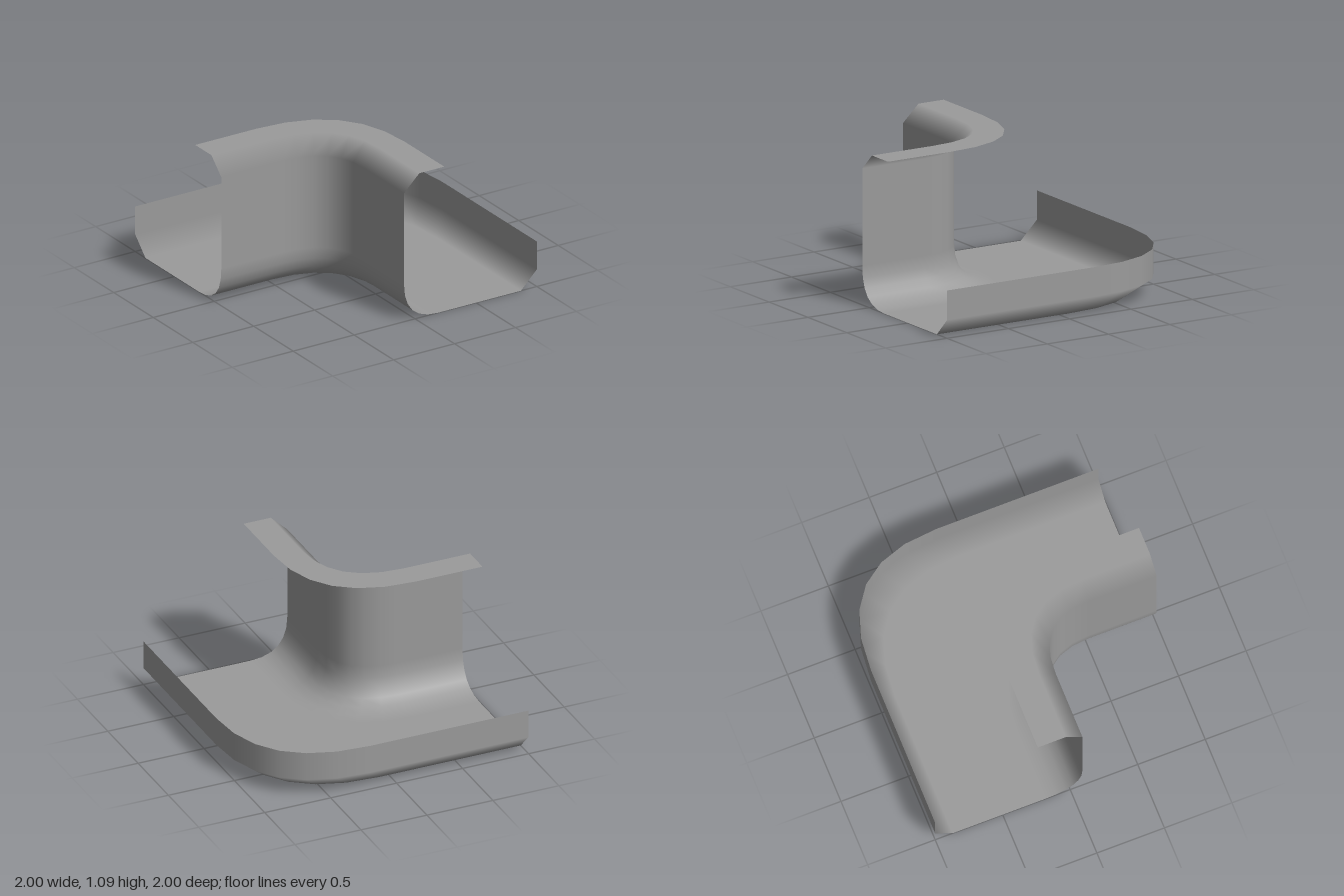
import * as THREE from 'three';

const STEPS = 6; // segments in each rounded bend

// Quadratic curve through the bend, as [a, b] pairs
function bend(p0, c, p1) {
  return new THREE.QuadraticBezierCurve(
    new THREE.Vector2(...p0), new THREE.Vector2(...c), new THREE.Vector2(...p1)
  ).getPoints(STEPS).map((p) => [p.x, p.y]);
}

// Sweep a profile round the 90 degree corner.
// Each profile point is [offset, height, bend start, normal angle].
function cornerSweep(profile) {
  const pos = [], normals = [], index = [];
  const n = STEPS + 3;
  profile.forEach(([d, y, s, angle]) => {
    const path = [[-1, -d], ...bend([s, -d], [d, -d], [d, -s]), [d, 1]];
    path.forEach(([x, z], j) => {
      pos.push(x, y, z);
      // outward direction turns from -z to +x along the bend
      const t = THREE.MathUtils.clamp((j - 1) / STEPS, 0, 1);
      const out = new THREE.Vector3(t, 0, t - 1).normalize().multiplyScalar(Math.cos(angle));
      normals.push(out.x, Math.sin(angle), out.z);
    });
  });
  for (let i = 0; i < profile.length - 1; i++) {
    for (let j = 0; j < n - 1; j++) {
      const a = i * n + j, b = a + 1, c = a + n, d = c + 1;
      index.push(a, b, c, b, d, c);
    }
  }
  const geo = new THREE.BufferGeometry();
  geo.setAttribute('position', new THREE.Float32BufferAttribute(pos, 3));
  geo.setAttribute('normal', new THREE.Float32BufferAttribute(normals, 3));
  geo.setIndex(index);
  return geo;
}

export function createModel() {
  const group = new THREE.Group();
  group.name = 'cornerChannel';
  const material = new THREE.MeshStandardMaterial({ color: 0x9b9b9b, side: THREE.DoubleSide });

  const inner = -0.5; // where the inner bends begin
  const up = Math.PI / 2;
  const foot = bend([-0.09, 0.28], [-0.09, 0], [0.19, 0]);
  const profile = [
    // flat lip, chamfer and tall inner wall
    [0.24, 1.09, inner, -up],
    [0.035, 1.09, inner, -up],
    [-0.09, 0.97, inner, 0],
    // rounded foot of the wall
    ...foot.map(([d, y], i) => [d, y, inner, Math.atan2(i, STEPS - i)]),
    // floor, outer chamfer and low outer wall
    [0.87, 0, 0.07, up],
    [1, 0.13, 0.2, Math.PI],
    [1, 0.34, 0.2, Math.PI],
  ];

  const channel = new THREE.Mesh(cornerSweep(profile), material);
  channel.name = 'channelShell';
  group.add(channel);
  return group;
}
